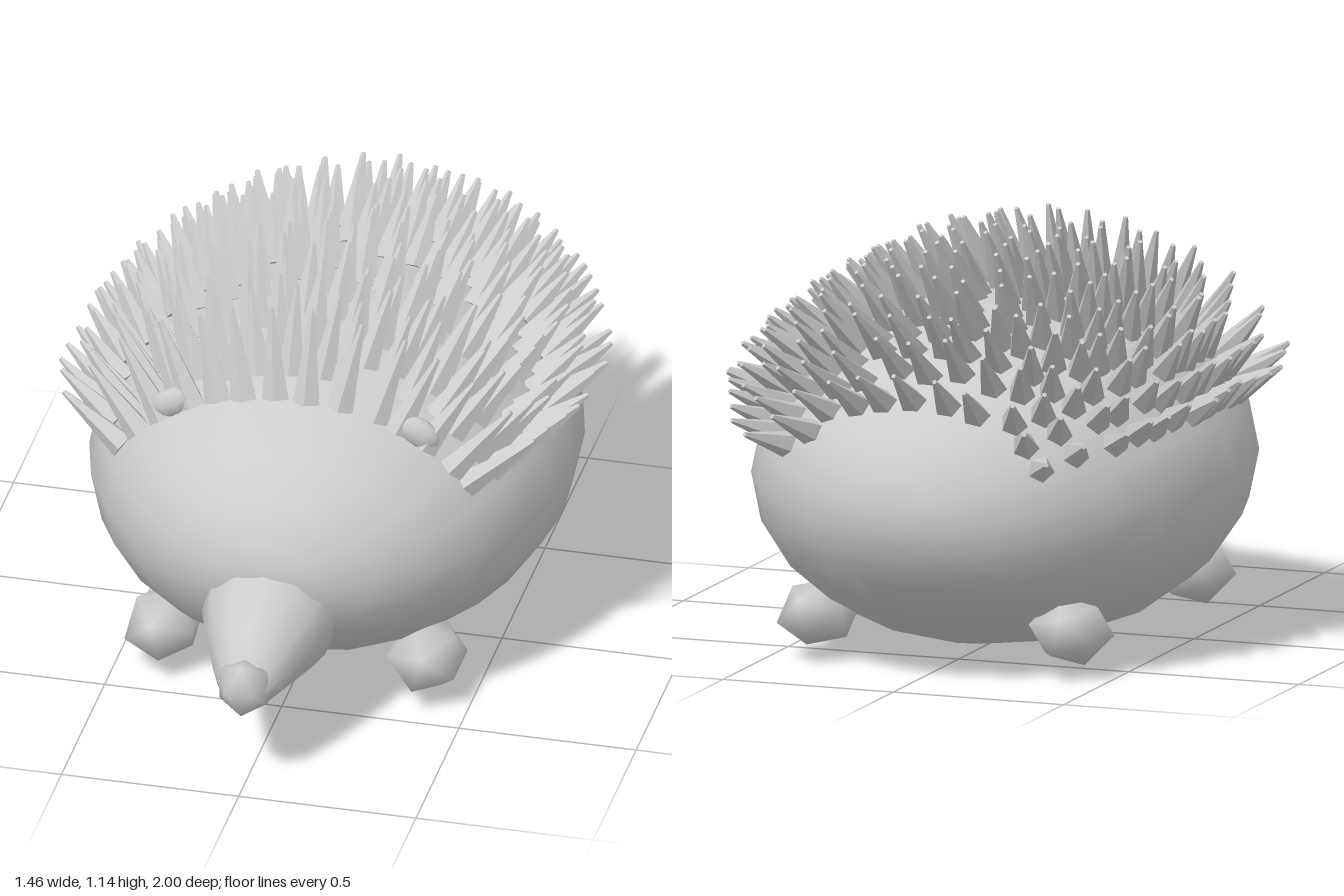
import * as THREE from 'three';
import { mergeVertices } from 'three/addons/utils/BufferGeometryUtils.js';

const BODY = { x: 0.67, y: 0.485, z: 0.857, cy: 0.489, cz: -0.143 };

// The body rises slightly towards the front
const lift = (n) => 0.025 * Math.max(n, 0);

// Point on the body: n runs -1 (rear) to 1 (front), a is the angle from the top
function onBody(n, a) {
  const r = Math.sqrt(1 - n * n);
  return new THREE.Vector3(
    BODY.x * r * Math.sin(a),
    BODY.cy + BODY.y * r * Math.cos(a) + lift(n),
    BODY.cz + BODY.z * n
  );
}

function bodyNormal(n, a) {
  const r = Math.sqrt(1 - n * n);
  return new THREE.Vector3(r * Math.sin(a) / BODY.x, r * Math.cos(a) / BODY.y, n / BODY.z).normalize();
}

// Weld the seams so shading runs smoothly all round
function smooth(geometry) {
  geometry.deleteAttribute('uv');
  geometry.deleteAttribute('normal');
  const welded = mergeVertices(geometry, 1e-4);
  welded.computeVertexNormals();
  return welded;
}

function seeded(seed) {
  return () => {
    seed = (seed * 16807) % 2147483647;
    return seed / 2147483647 - 0.5;
  };
}

export function createModel() {
  const model = new THREE.Group();
  const grey = new THREE.MeshStandardMaterial({ color: 0xcccccc });
  grey.name = 'grey';

  function add(name, geometry, parent = model) {
    const mesh = new THREE.Mesh(geometry, grey);
    mesh.name = name;
    parent.add(mesh);
    return mesh;
  }

  // Egg-shaped body, poles at nose and rear
  const bodyGeo = new THREE.SphereGeometry(1, 20, 14).rotateX(Math.PI / 2);
  const p = bodyGeo.attributes.position;
  for (let i = 0; i < p.count; i++) {
    const n = p.getZ(i);
    p.setXYZ(i, p.getX(i) * BODY.x, BODY.cy + p.getY(i) * BODY.y + lift(n), BODY.cz + n * BODY.z);
  }
  add('body', smooth(bodyGeo));

  // Tapered snout, drooping towards the tip
  const profile = [[0.165, 0.48], [0.186, 0.6], [0.186, 0.66], [0.163, 0.73], [0.103, 0.88], [0.066, 0.95], [0, 0.965]];
  const snoutGeo = new THREE.LatheGeometry(profile.map(([r, z]) => new THREE.Vector2(r, z)), 12);
  snoutGeo.rotateX(Math.PI / 2);
  const s = snoutGeo.attributes.position;
  for (let i = 0; i < s.count; i++) {
    s.setY(i, s.getY(i) + 0.376 - 0.2 * Math.max(0, s.getZ(i) - 0.66));
  }
  add('snout', smooth(snoutGeo));

  // Nose bead
  const pebble = smooth(new THREE.IcosahedronGeometry(1, 0));
  const nose = add('nose', pebble);
  nose.scale.set(0.09, 0.08, 0.07);
  nose.position.set(0, 0.322, 0.94);
  nose.rotation.z = Math.PI / 2;

  // Feet and ears, mirrored
  for (const side of [1, -1]) {
    for (const [name, z] of [['frontFoot', 0.335], ['rearFoot', -0.6]]) {
      const foot = add(name, pebble);
      foot.scale.set(0.115, 0.098, 0.154);
      foot.position.set(side * 0.37, 0.13, z);
      foot.rotation.z = -side * 0.25;
    }
    const ear = add('ear', new THREE.SphereGeometry(1, 10, 6));
    ear.scale.set(0.065, 0.042, 0.03);
    ear.position.set(side * 0.35, 0.835, 0.345);
    ear.rotation.z = -side * 0.5;
  }

  // Spines in rows over the back, swept rearwards, shorter at the sides and rear
  const spines = new THREE.Group();
  spines.name = 'spines';
  model.add(spines);
  const spineGeo = new THREE.CylinderGeometry(0.007, 0.04, 0.2, 5).toNonIndexed();
  spineGeo.translate(0, 0.085, 0);
  spineGeo.computeVertexNormals();
  const rand = seeded(77);
  const up = new THREE.Vector3(0, 1, 0);
  const rows = 14;
  for (let row = 0; row < rows; row++) {
    const z = 0.335 - row * 0.088;
    const n = (z - BODY.cz) / BODY.z;
    const r = Math.sqrt(1 - n * n);
    // Rows stop at a hem line that drops a little at the rear
    const hem = 0.69 - 0.06 * Math.max(0, (-0.5 - z) / 0.3);
    const limit = Math.acos((hem - BODY.cy - lift(n)) / (BODY.y * r));
    const count = Math.round(2 * limit * r * 0.58 / 0.078);
    for (let i = 0; i <= count; i++) {
      const t = 2 * i / count - 1;
      const a = limit * t + rand() * 0.05;
      const m = n + (row === 0 ? 0.01 : 0.05) * rand();
      const dir = bodyNormal(m, a);
      dir.z -= 0.65;
      dir.x += rand() * 0.12;
      const spine = add('spine', spineGeo, spines);
      spine.position.copy(onBody(m, a));
      spine.quaternion.setFromUnitVectors(up, dir.normalize());
      const length = 1.03 + 0.8 * Math.max(0, n - 0.25) - 0.15 * t * t + rand() * 0.1;
      spine.scale.set(1, length, 1);
    }
  }
  return model;
}
